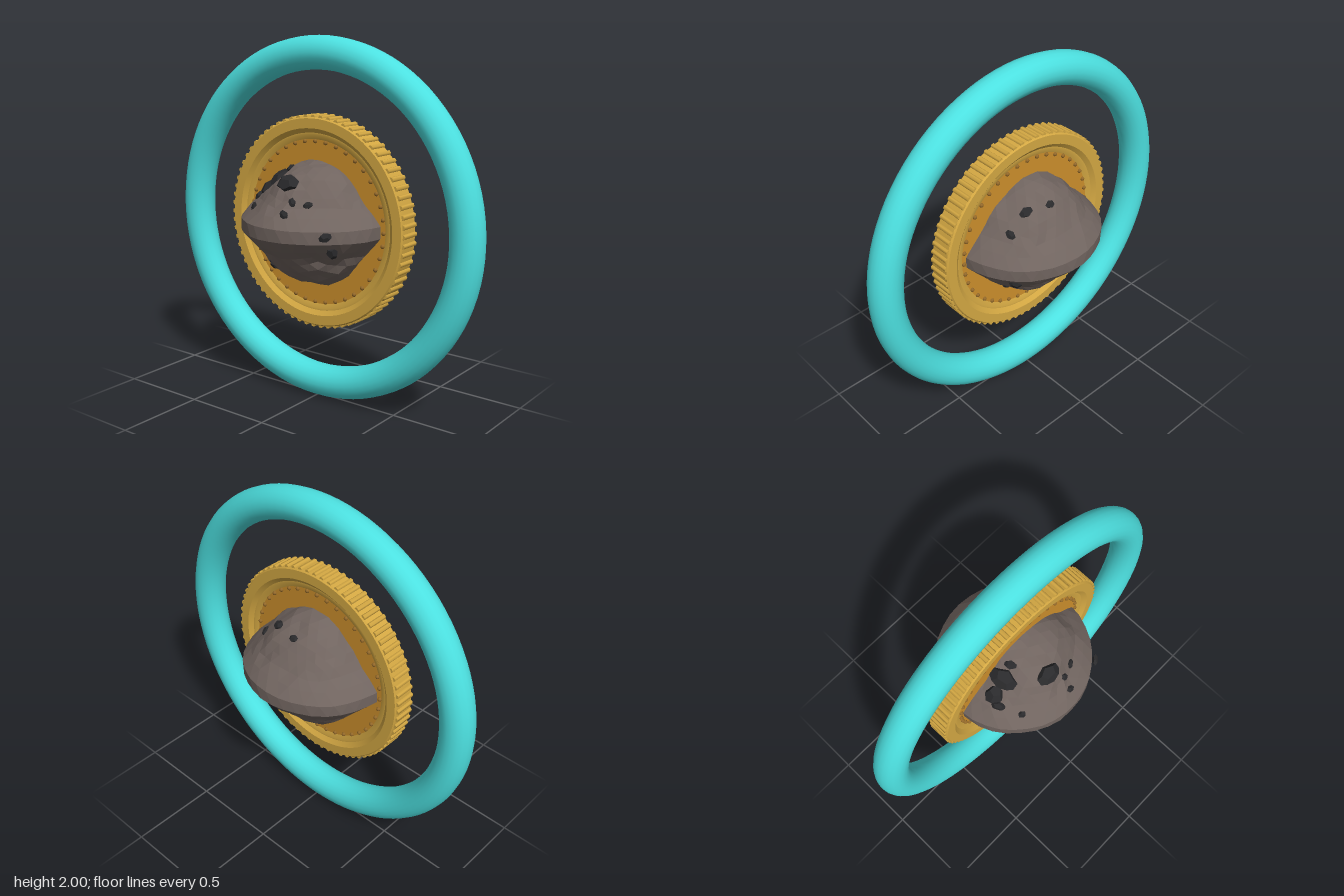
import * as THREE from 'three';
import { toCreasedNormals } from 'three/addons/utils/BufferGeometryUtils.js';

const mat = (name, color, flatShading = false) => {
  const m = new THREE.MeshStandardMaterial({ color, flatShading });
  m.name = name;
  return m;
};

// Dents in the boulder: centre direction, reach, depth
const dents = [
  [new THREE.Vector3(-0.22, 0.24, 0.1).normalize(), 0.4, 0.04],
  [new THREE.Vector3(-0.05, -0.3, -0.1).normalize(), 0.3, 0.06],
];

// Point on the boulder surface along a direction: a round body with a sharp equator
function boulderPoint(dir) {
  const d = dir.clone().normalize();
  const lat = Math.abs(Math.asin(THREE.MathUtils.clamp(d.y, -1, 1)));
  let r = 0.345 + 0.105 * Math.pow(Math.max(0, 1 - lat / 0.46), 1.3);
  const rough = Math.min(1, 0.2 + lat * 2);
  r += rough * 0.009 * Math.sin(5 * d.x + 2) * Math.cos(6 * d.z + 1);
  r += rough * 0.007 * Math.sin(23 * d.x + 17 * d.y) * Math.sin(19 * d.z - 13 * d.y + 1);
  for (const [c, reach, depth] of dents) {
    const t = d.distanceTo(c) / reach;
    if (t < 1) r -= depth * (1 - t * t);
  }
  return d.multiplyScalar(r);
}

export function createModel() {
  const model = new THREE.Group();
  model.name = 'ringedCoinBoulder';
  const teal = mat('teal', 0x4ce0e0);
  const gold = mat('gold', 0xd4a843);
  const amber = mat('amber', 0xcc8f2c);
  const bronze = mat('bronze', 0x94692a);
  const stone = mat('stone', 0x70645f, true);
  const coal = mat('coal', 0x2a2a2c, true);

  const add = (parent, name, geometry, material) => {
    const mesh = new THREE.Mesh(geometry, material);
    mesh.name = name;
    parent.add(mesh);
    return mesh;
  };

  const body = new THREE.Group();
  body.name = 'body';
  body.position.y = 1;
  model.add(body);

  // Outer ring
  add(body, 'outerRing', new THREE.TorusGeometry(0.91, 0.09, 20, 96), teal);

  // Coin
  const coin = new THREE.Group();
  coin.name = 'coin';
  body.add(coin);

  const profile = [
    [0.455, -0.035], [0.48, -0.045], [0.49, -0.045], [0.515, -0.065], [0.568, -0.065], [0.576, -0.056],
    [0.576, 0.056], [0.568, 0.065], [0.515, 0.065], [0.49, 0.045], [0.48, 0.045], [0.455, 0.035],
  ].map(([x, y]) => new THREE.Vector2(x, y));
  const rim = toCreasedNormals(new THREE.LatheGeometry(profile, 72), 0.4);
  add(coin, 'coinRim', rim.rotateX(Math.PI / 2), gold);

  const field = new THREE.CylinderGeometry(0.47, 0.47, 0.07, 72);
  add(coin, 'coinField', field.rotateX(Math.PI / 2), amber);

  // Reeded edge
  const reedCount = 72;
  const reed = new THREE.CylinderGeometry(0.015, 0.015, 0.116, 6).rotateX(Math.PI / 2);
  for (let i = 0; i < reedCount; i++) {
    const a = (i / reedCount) * Math.PI * 2;
    const m = add(coin, 'edgeReed', reed, gold);
    m.position.set(Math.cos(a) * 0.573, Math.sin(a) * 0.573, 0);
    m.rotation.z = a;
  }

  // Beads around both faces
  const bead = new THREE.SphereGeometry(0.012, 8, 6);
  for (const side of [1, -1]) {
    for (let i = 0; i < 40; i++) {
      const a = (i / 40) * Math.PI * 2;
      add(coin, 'bead', bead, bronze)
        .position.set(Math.sin(a) * 0.445, Math.cos(a) * 0.445, side * 0.037);
    }
  }

  // Boulder, with a band of teeth around the equator
  const rock = new THREE.IcosahedronGeometry(1, 6);
  rock.rotateX(-Math.atan((1 + Math.sqrt(5)) / 2));
  const pos = rock.attributes.position;
  const v = new THREE.Vector3();
  for (let i = 0; i < pos.count; i++) {
    const p = boulderPoint(v.fromBufferAttribute(pos, i));
    pos.setXYZ(i, p.x, p.y, p.z);
  }
  rock.computeVertexNormals();
  add(body, 'boulder', rock, stone);

  // Dark chunks set in the surface: direction and size
  const chunks = [
    [-0.01, 0.23, 0.24, 0.062], [-0.2, 0.25, 0.11, 0.07], [-0.28, 0.17, 0.12, 0.06],
    [-0.3, 0.14, 0.17, 0.035], [-0.23, 0.1, 0.28, 0.025], [0.06, 0.16, 0.31, 0.024],
    [0.14, 0.15, 0.28, 0.023], [0.05, 0.1, 0.36, 0.026], [0.28, 0.01, 0.32, 0.03],
    [0.28, -0.08, 0.26, 0.036], [-0.14, -0.22, 0.22, 0.028], [0.14, 0.26, -0.18, 0.033],
    [0.26, 0.18, -0.19, 0.027], [0, 0.27, -0.22, 0.026], [0.28, -0.09, -0.25, 0.032],
    [0.2, -0.28, -0.08, 0.028], [-0.12, 0.29, 0.09, 0.03],
  ];
  const chunk = new THREE.DodecahedronGeometry(1);
  const up = new THREE.Vector3(0, 1, 0);
  chunks.forEach(([x, y, z, s], i) => {
    const p = boulderPoint(new THREE.Vector3(x, y, z));
    const m = add(body, 'darkChunk', chunk, coal);
    m.position.copy(p);
    m.quaternion.setFromUnitVectors(up, p.clone().normalize());
    m.rotateY(i * 1.7);
    m.scale.set(s * 1.15, s * 0.55, s * 0.85);
  });

  return model;
}
